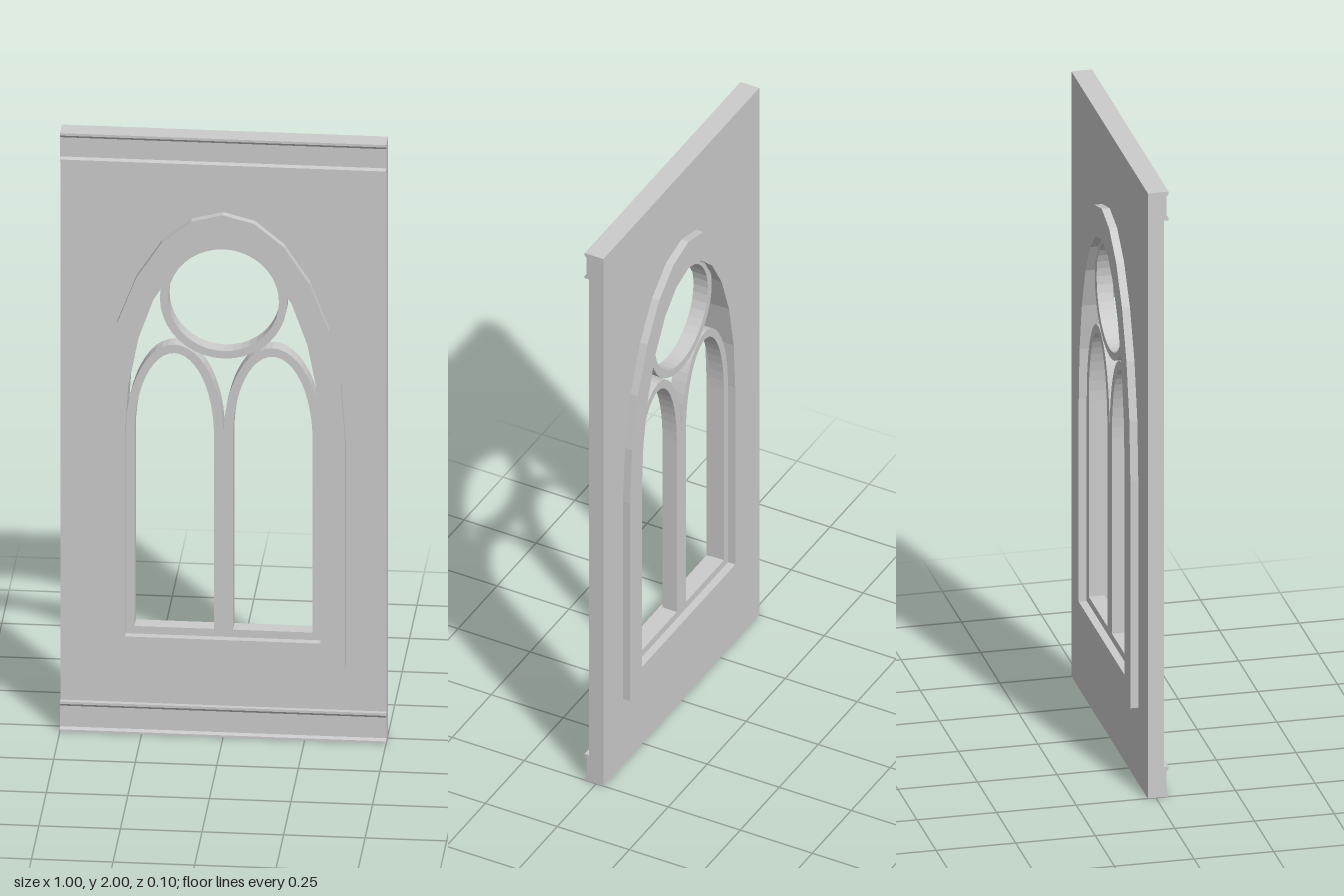
import * as THREE from 'three';

const material = new THREE.MeshStandardMaterial({ color: 0xcccccc, flatShading: true });

// Outline of a round-topped opening: straight jambs, then a half ellipse
function archPoints(cx, halfWidth, bottom, spring, rise, segments) {
  const points = [new THREE.Vector2(cx - halfWidth, bottom), new THREE.Vector2(cx + halfWidth, bottom)];
  for (let i = 0; i <= segments; i++) {
    const a = (i / segments) * Math.PI;
    points.push(new THREE.Vector2(cx + halfWidth * Math.cos(a), spring + rise * Math.sin(a)));
  }
  return points;
}

function circlePoints(cy, radius, segments) {
  return Array.from({ length: segments }, (_, i) => {
    const a = (i / segments) * Math.PI * 2;
    return new THREE.Vector2(radius * Math.cos(a), cy + radius * Math.sin(a));
  });
}

// Slab with one hole, centred on z = 0
function piercedSlab(name, outer, inner, depth) {
  const shape = new THREE.Shape(outer);
  shape.holes.push(new THREE.Path(inner));
  const geometry = new THREE.ExtrudeGeometry(shape, { depth, bevelEnabled: false });
  geometry.translate(0, 0, -depth / 2);
  const mesh = new THREE.Mesh(geometry, material);
  mesh.name = name;
  return mesh;
}

// Moulding profile (z, y) swept along the width of the wall
function moulding(name, y, height) {
  const profile = [
    [0.02, 0], [0.04, 0], [0.04, 0.007], [0.034, 0.015],
    [0.034, height - 0.016], [0.04, height - 0.008], [0.04, height], [0.02, height],
  ].map(([z, py]) => new THREE.Vector2(-z, py));
  const geometry = new THREE.ExtrudeGeometry(new THREE.Shape(profile), { depth: 1, bevelEnabled: false });
  geometry.translate(0, y, -0.5);
  geometry.rotateY(Math.PI / 2);
  const mesh = new THREE.Mesh(geometry, material);
  mesh.name = name;
  return mesh;
}

export function createModel() {
  const model = new THREE.Group();
  model.name = 'archedWindowWall';

  // Wall panel, cut to the outside of the window frame
  const frameOuter = archPoints(0, 0.375, 0.25, 1, 0.75, 12);
  const wallOutline = [[-0.5, 0], [0.5, 0], [0.5, 2], [-0.5, 2]].map(([x, y]) => new THREE.Vector2(x, y));
  model.add(piercedSlab('wall', wallOutline, frameOuter, 0.05));

  // Raised frame, proud of the wall on both faces
  const frameInner = archPoints(0, 0.3, 0.33, 1, 0.65, 12);
  model.add(piercedSlab('windowFrame', frameOuter, frameInner, 0.1));

  // Tracery: two lancets and a round light above them
  const tracery = new THREE.Group();
  tracery.name = 'tracery';
  for (const [name, side] of [['leftLancet', 1], ['rightLancet', -1]]) {
    tracery.add(piercedSlab(
      name,
      archPoints(side * 0.15, 0.15, 0.33, 1, 0.3, 24),
      archPoints(side * 0.151, 0.122, 0.355, 1, 0.272, 24),
      0.05,
    ));
  }
  tracery.add(piercedSlab('roundLight', circlePoints(1.455, 0.195, 40), circlePoints(1.455, 0.17, 40), 0.05));
  model.add(tracery);

  // Mouldings on the front face
  model.add(moulding('baseMoulding', 0, 0.1));
  model.add(moulding('topMoulding', 1.905, 0.095));

  return model;
}
